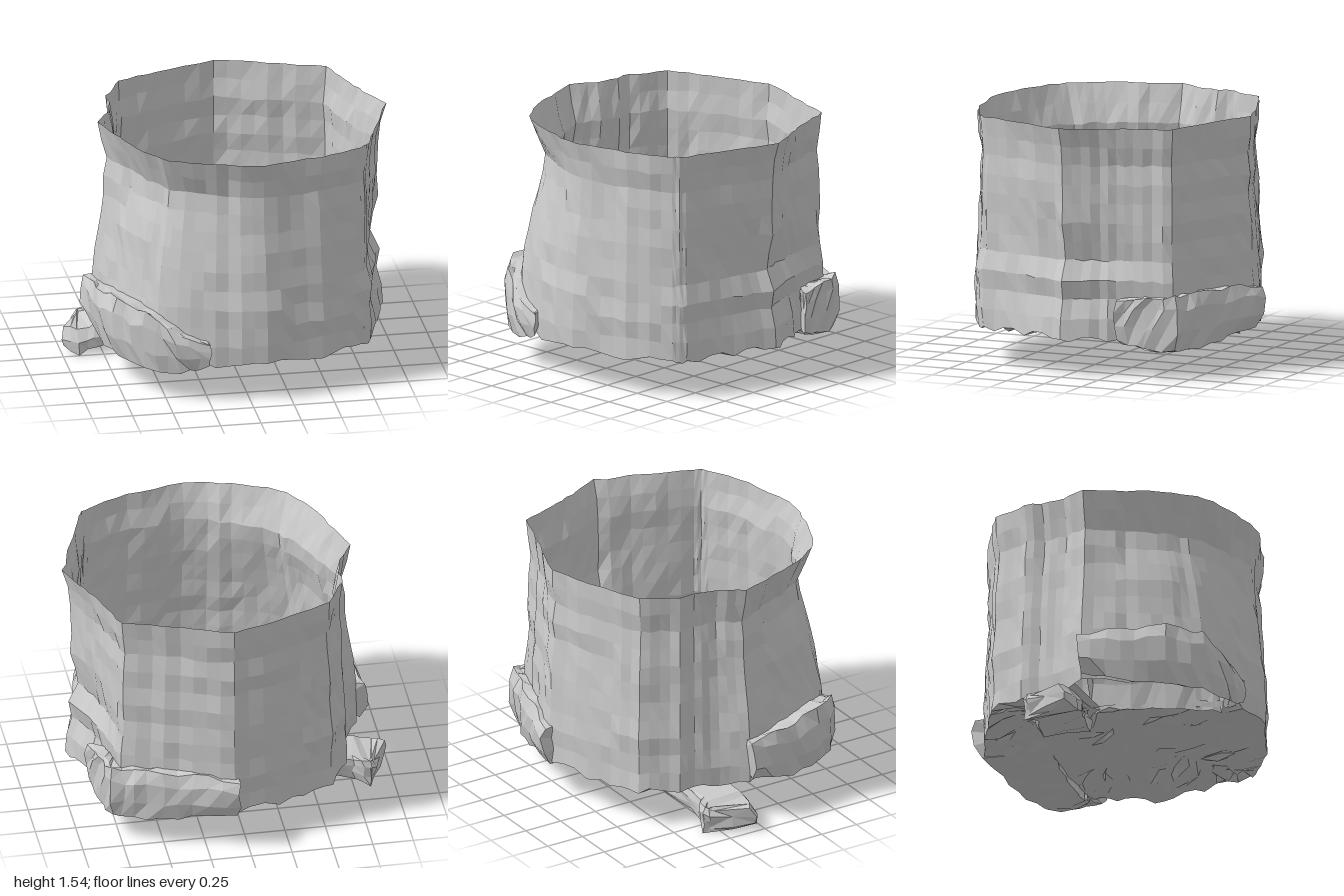
import * as THREE from 'three';

const mat = new THREE.MeshStandardMaterial({ color: 0xcccccc, flatShading: true, side: THREE.DoubleSide });

// repeatable jitter in -1..1
const jit = (a, b, c = 0) => {
  const s = Math.sin(a * 127.1 + b * 311.7 + c * 74.7) * 43758.5453;
  return (s - Math.floor(s)) * 2 - 1;
};
const lerp = THREE.MathUtils.lerp;

// table lookup with linear interpolation, t in 0..1
function sample(table, t) {
  const f = t * (table.length - 1), i = Math.min(Math.floor(f), table.length - 2);
  return lerp(table[i], table[i + 1], f - i);
}

// surface through rows of points; point(r, c) returns [x, y, z]
function sheet(name, rows, cols, point) {
  const pos = [], idx = [];
  for (let r = 0; r <= rows; r++)
    for (let c = 0; c <= cols; c++) pos.push(...point(r, c));
  for (let r = 0; r < rows; r++)
    for (let c = 0; c < cols; c++) {
      const a = r * (cols + 1) + c, b = a + cols + 1;
      idx.push(a, b, a + 1, a + 1, b, b + 1);
    }
  const g = new THREE.BufferGeometry();
  g.setAttribute('position', new THREE.Float32BufferAttribute(pos, 3));
  g.setIndex(idx);
  g.computeVertexNormals();
  const m = new THREE.Mesh(g, mat);
  m.name = name;
  return m;
}

// rim outline [x, z], from the back round by the -x side
const rim = [
  [0.08, -0.85], [-0.3, -0.73], [-0.55, -0.62], [-0.66, -0.4], [-0.68, -0.2],
  [-0.78, 0], [-0.7, 0.25], [-0.6, 0.52], [-0.47, 0.68], [-0.2, 0.81],
  [0.1, 0.87], [0.45, 0.79], [0.73, 0.68], [0.78, 0.61], [0.89, 0.3],
  [0.99, 0.02], [0.89, -0.2], [0.82, -0.4], [0.74, -0.63], [0.4, -0.74],
];
const SUB = 4, SEG = rim.length * SUB, ROWS = 11, TOP = 1.55, BASE = 0.25;

// radial offsets from rim to base: right corner, front left, elsewhere
const cornerWave = [0, -0.03, -0.05, -0.05, -0.06, -0.06, -0.08, -0.1, -0.03, -0.06, -0.03, -0.02];
const neckWave = [0, -0.05, -0.1, -0.08, -0.05, -0.02, 0, 0.02, 0.04, 0.06, 0.07, 0.05];
const plainWave = [0, -0.01, -0.02, -0.01, -0.01, 0, 0, 0.01, 0.02, 0.02, 0.02, 0.02];

function wallPoint(r, c) {
  c %= SEG;
  const i = Math.floor(c / SUB), f = (c % SUB) / SUB;
  const p = rim[i], q = rim[(i + 1) % rim.length];
  let x = lerp(p[0], q[0], f), z = lerp(p[1], q[1], f);
  const len = Math.hypot(x, z), ux = x / len, uz = z / len;
  const neck = Math.max(0, (uz - ux) / Math.SQRT2) ** 2;
  const corner = (1 - neck) * Math.max(0, ux) ** 6;
  const t = r / ROWS;
  let d = neck * sample(neckWave, t) + corner * sample(cornerWave, t) + (1 - neck - corner) * sample(plainWave, t);
  // vertical pleats, plus patches and fine roughness below the rim
  d += 0.01 * jit(c, 3);
  if (r > 0) d += 0.008 * jit(Math.floor(c / 6), r, 8) + 0.006 * jit(c, r);
  x += ux * d;
  z += uz * d;
  const yj = r === 0 ? 0.004 : r === ROWS ? 0.022 : 0.008;
  return [x, lerp(TOP, BASE, t) + yj * jit(c, r, 5), z];
}

// uneven floor: a square grid whose border follows the wall foot
const N = SEG / 4;
function floorPoint(r, c) {
  const u = (2 * c) / N - 1, v = (2 * r) / N - 1, m = Math.max(Math.abs(u), Math.abs(v));
  if (m === 0) return [0, 0.23, 0];
  const a = u / m, b = v / m;
  const side = b === -1 ? 8 - a : a === -1 ? 2 + b : b === 1 ? 4 + a : 6 - b;
  const [wx, wy, wz] = wallPoint(ROWS, Math.round((side / 8) * SEG));
  const w = m < 1 ? 0.014 : 0;
  let x = wx * m + w * jit(c, r, 1);
  const z = wz * m + w * jit(c, r, 2);
  // stops at the inner face of the hollow front lump
  if (z > -0.05) x = Math.max(x, -0.41 + 0.25 * z * z);
  return [x, lerp(0.23, wy, m * m) + w * jit(c, r, 3), z];
}

// rough block lofted along sections [outerX, outerZ, innerX, innerZ, bottomY, topY]
function chunk(name, sections, { steps = 3, bulge = 0.1, slope = 0.25, openBottom = false, rough = 0.015 } = {}) {
  // loop of [across 0 outer..1 inner, height 0..1]
  const loop = [[bulge, 0], [0.02, 0.35], [0, 0.75], [bulge * 0.7, 1], [slope, 0.98], [1 - slope, 0.95], [1, 0.5], [1, 0]];
  if (!openBottom) loop.push([0.5, -0.05], loop[0]);
  const n = (sections.length - 1) * steps, last = loop.length - 1;
  return sheet(name, n + 2, last, (row, c) => {
    const r = Math.min(Math.max(row - 1, 0), n);
    const cap = row === 0 || row === n + 2;
    const s = [0, 1, 2, 3, 4, 5].map(k => sample(sections.map(v => v[k]), r / n));
    const [a, h] = cap ? [0.5, 0.5] : loop[c];
    const key = !openBottom && c === last ? 0 : c, w = cap ? 0 : rough;
    return [
      lerp(s[0], s[2], a) + w * jit(r, key, 11),
      lerp(s[4], s[5], h) + w * jit(r, key, 12),
      lerp(s[1], s[3], a) + w * jit(r, key, 13),
    ];
  });
}

export function createModel() {
  const group = new THREE.Group();
  group.name = 'roughPot';

  // thin faceted wall and floor
  group.add(sheet('wall', ROWS, SEG, (r, c) => wallPoint(r, SEG - c)));
  group.add(sheet('floor', N, N, floorPoint));

  // lump across the back right of the pot
  group.add(chunk('backLump', [
    [0.06, -0.94, 0.09, -0.43, 0.25, 0.5],
    [0.34, -0.87, 0.3, -0.45, 0.22, 0.53],
    [0.6, -0.77, 0.55, -0.44, 0.19, 0.53],
    [0.82, -0.69, 0.72, -0.42, 0.19, 0.53],
    [0.86, -0.5, 0.76, -0.41, 0.21, 0.52],
    [0.9, -0.32, 0.8, -0.38, 0.25, 0.5],
  ]));

  // hollow lump around the front left
  group.add(chunk('frontLump', [
    [-0.9, 0, -0.4, -0.05, 0.3, 0.55],
    [-0.86, 0.25, -0.41, 0.2, 0.22, 0.56],
    [-0.8, 0.52, -0.38, 0.4, 0.21, 0.59],
    [-0.64, 0.73, -0.33, 0.58, 0.2, 0.57],
    [-0.45, 0.83, -0.28, 0.72, 0.2, 0.46],
    [-0.25, 0.87, -0.24, 0.8, 0.25, 0.39],
  ], { openBottom: true, slope: 0.15 }));

  // small flat foot poking out under the left side
  group.add(chunk('foot', [
    [-0.35, -0.4, -0.37, -0.06, 0.14, 0.25],
    [-0.55, -0.36, -0.58, -0.04, 0.1, 0.22],
    [-0.75, -0.32, -0.8, -0.01, 0.06, 0.2],
    [-0.86, -0.36, -0.9, -0.01, 0.02, 0.18],
    [-0.88, -0.33, -0.99, -0.06, 0.06, 0.18],
  ], { steps: 2, bulge: 0.05, slope: 0.12 }));

  return group;
}
